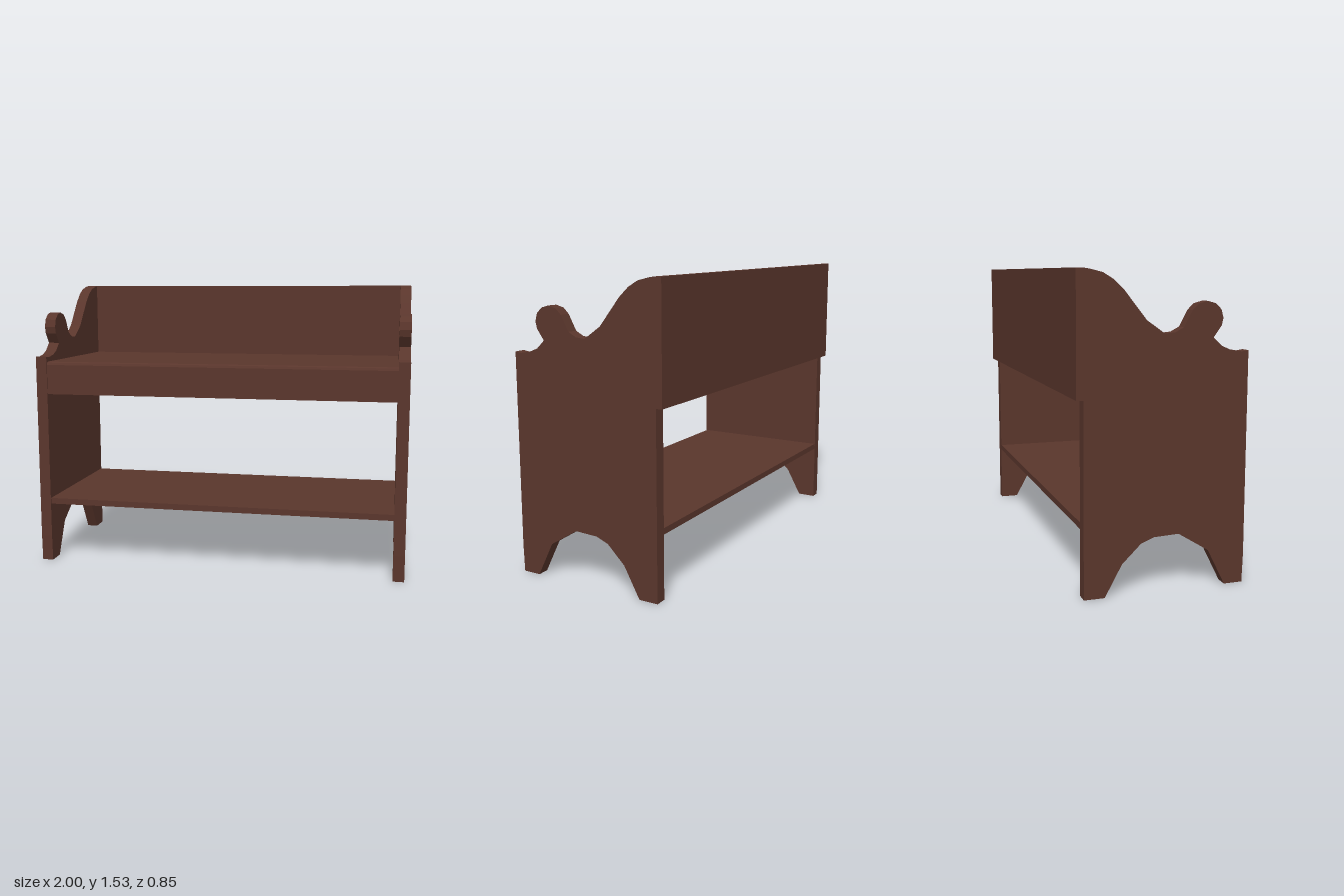
import * as THREE from 'three';

// Extrudes a (z, y) outline along x, from x0 to x1.
function extrudeAlongX(points, x0, x1) {
  const shape = new THREE.Shape(points.map(([z, y]) => new THREE.Vector2(z, y)));
  const geometry = new THREE.ExtrudeGeometry(shape, { depth: x1 - x0, bevelEnabled: false });
  geometry.rotateY(-Math.PI / 2);
  geometry.translate(x1, 0, 0);
  return geometry;
}

export function createModel() {
  const bench = new THREE.Group();
  bench.name = 'bench';
  const wood = new THREE.MeshStandardMaterial({ color: 0x5a362c });
  wood.name = 'dark brown wood';

  const add = (name, geometry) => {
    const mesh = new THREE.Mesh(geometry, wood);
    mesh.name = name;
    bench.add(mesh);
  };
  const board = (name, [x0, x1], [y0, y1], [z0, z1]) => {
    const geometry = new THREE.BoxGeometry(x1 - x0, y1 - y0, z1 - z0);
    geometry.translate((x0 + x1) / 2, (y0 + y1) / 2, (z0 + z1) / 2);
    add(name, geometry);
  };

  // Side panels: scrolled armrest on top, arched cut-out between the feet
  const sideOutline = [
    [0.325, 0], [0.42, 0], [0.425, 0.14], [0.425, 1.145],
    [0.39, 1.14], [0.33, 1.15], [0.285, 1.17], [0.243, 1.21],
    [0.283, 1.265], [0.291, 1.3], [0.28, 1.34], [0.25, 1.368], [0.21, 1.379],
    [0.165, 1.367], [0.135, 1.338], [0.093, 1.26], [0.05, 1.237], [0, 1.232],
    [-0.09, 1.295], [-0.2, 1.433], [-0.25, 1.48], [-0.3, 1.51], [-0.36, 1.525], [-0.392, 1.53],
    [-0.392, 0], [-0.29, 0],
    [-0.205, 0.155], [-0.11, 0.247], [-0.045, 0.272], [0.08, 0.277], [0.235, 0.18],
  ];
  add('leftSidePanel', extrudeAlongX(sideOutline, 0.94, 1));
  add('rightSidePanel', extrudeAlongX(sideOutline, -1, -0.94));

  // Seat with a softened front edge turning down into the apron
  const seatOutline = [
    [-0.395, 1.075], [0.4, 1.075], [0.4, 0.94], [0.42, 0.94],
    [0.42, 1.1], [0.415, 1.112], [0.403, 1.117], [-0.395, 1.117],
  ];
  add('seatAndApron', extrudeAlongX(seatOutline, -0.94, 0.94));

  // Backrest covers the full width behind the side panels
  board('backrest', [-1, 1], [0.94, 1.53], [-0.425, -0.392]);
  board('lowerShelf', [-0.94, 0.94], [0.325, 0.357], [-0.39, 0.42]);

  return bench;
}
